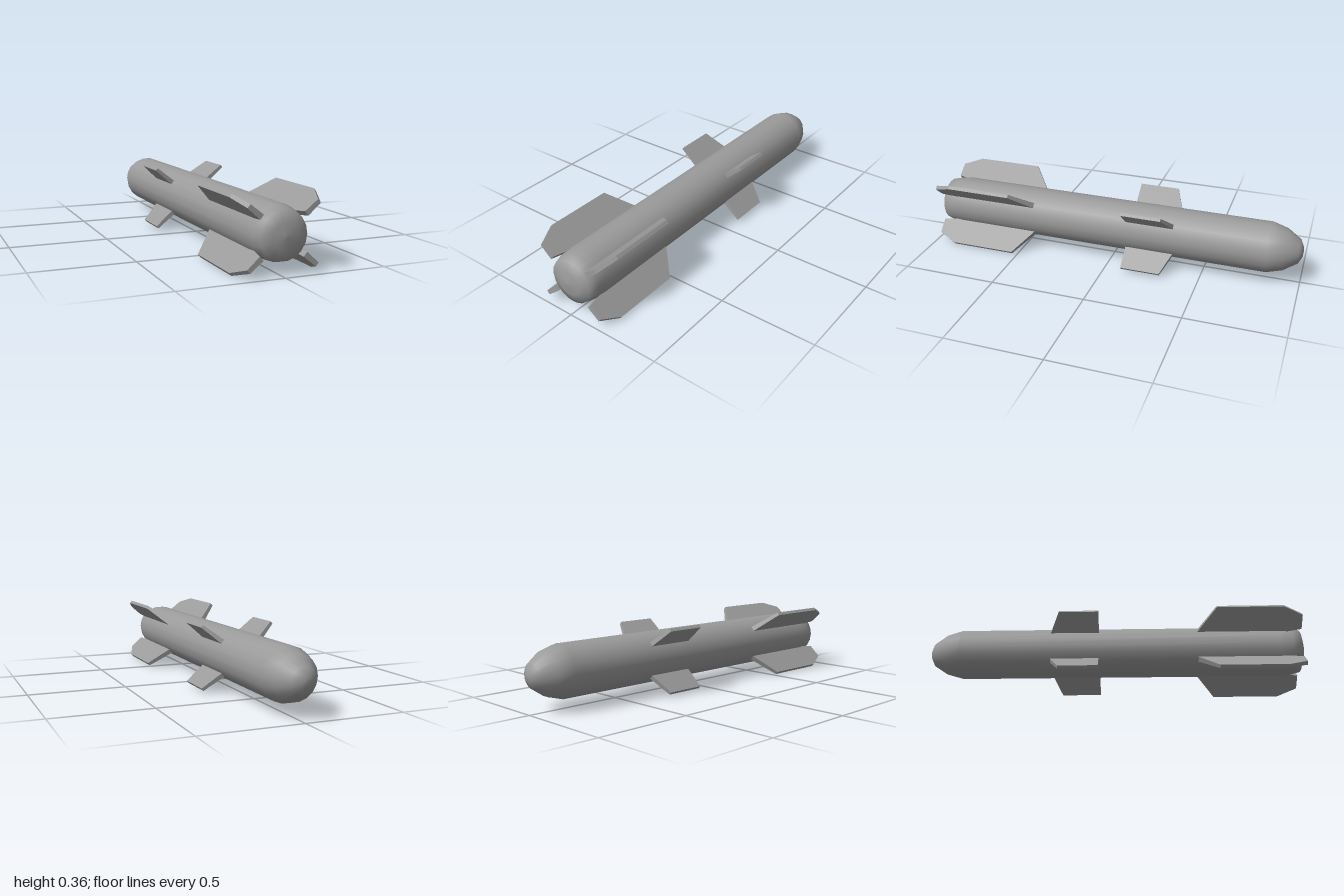
import * as THREE from 'three';

const AXIS_Y = 0.18;                      // height of the body axis
const UPPER_ANGLE = THREE.MathUtils.degToRad(39.7);
const LOWER_ANGLE = THREE.MathUtils.degToRad(40.4);

// Flat fin from a (radius, z) outline, thinner toward the tip
function finGeometry(outline, rootHalf, tipHalf) {
  const shape = new THREE.Shape(outline.map(([r, z]) => new THREE.Vector2(r, z)));
  const geo = new THREE.ExtrudeGeometry(shape, { depth: 2, bevelEnabled: false });
  geo.translate(0, 0, -1);
  geo.rotateX(Math.PI / 2);
  const radii = outline.map(p => p[0]);
  const rMin = Math.min(...radii), rMax = Math.max(...radii);
  const pos = geo.attributes.position;
  for (let i = 0; i < pos.count; i++) {
    const t = (pos.getX(i) - rMin) / (rMax - rMin);
    pos.setY(i, pos.getY(i) * THREE.MathUtils.lerp(rootHalf, tipHalf, t));
  }
  geo.computeVertexNormals();
  return geo;
}

export function createModel() {
  const model = new THREE.Group();
  model.name = 'missile';
  const smooth = new THREE.MeshStandardMaterial({ color: 0x9b9b9b });
  const flat = new THREE.MeshStandardMaterial({ color: 0x9b9b9b, flatShading: true });

  // Body: blunt nose at -z, full, shallow domed tail at +z
  const profile = [
    [0, -1], [0.025, -0.998], [0.062, -0.98], [0.108, -0.91], [0.131, -0.83],
    [0.131, 0.87], [0.126, 0.93], [0.113, 0.977], [0.06, 0.994], [0, 1],
  ].map(([r, z]) => new THREE.Vector2(r, z));
  const bodyGeo = new THREE.LatheGeometry(profile, 18, Math.PI / 2);
  bodyGeo.rotateX(Math.PI / 2);
  const body = new THREE.Mesh(bodyGeo, smooth);
  body.name = 'body';
  body.position.y = AXIS_Y;
  model.add(body);

  // Two sets of four fins in an X
  const tailFin = finGeometry([
    [0.121, 0.425], [0.266, 0.53], [0.266, 0.88], [0.217, 0.98], [0.138, 0.98], [0.121, 0.88],
  ], 0.014, 0.009);
  const midFin = finGeometry([
    [0.121, -0.35], [0.248, -0.3], [0.248, -0.092], [0.121, -0.092],
  ], 0.012, 0.008);

  const angles = [UPPER_ANGLE, Math.PI - UPPER_ANGLE, Math.PI + LOWER_ANGLE, -LOWER_ANGLE];
  const corners = ['UpperLeft', 'UpperRight', 'LowerRight', 'LowerLeft'];
  for (const [name, geo] of [['tailFin', tailFin], ['midFin', midFin]]) {
    angles.forEach((angle, i) => {
      const fin = new THREE.Mesh(geo, flat);
      fin.name = name + corners[i];
      fin.position.y = AXIS_Y;
      fin.rotation.z = angle;
      model.add(fin);
    });
  }
  return model;
}
